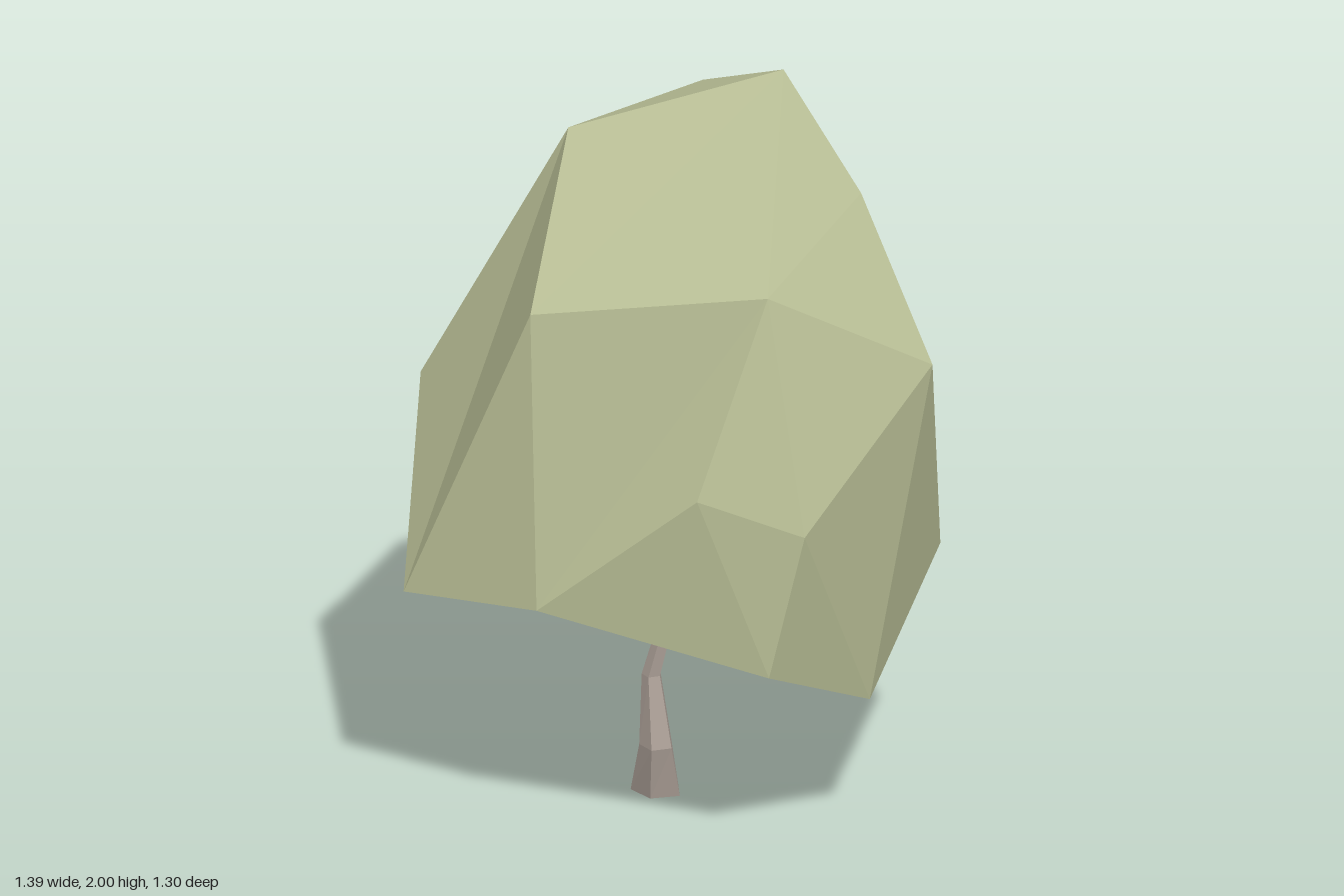
import * as THREE from 'three';

// Corner points of the faceted crown, keyed by letter
const P = {
  A: [0.22, 2.0, -0.07], B: [-0.31, 1.83, 0.09], C: [-0.27, 1.49, 0.52], D: [0.355, 1.6, 0.465],
  E: [0.45, 1.71, -0.01], F: [0.69, 1.32, 0.13], G: [0.49, 0.99, 0.57], H: [0.22, 1.08, 0.635],
  I: [-0.21, 0.72, 0.65], J: [0.4, 0.59, 0.59], K: [0.56, 0.41, 0.25], L: [-0.615, 0.66, 0.515],
  M: [-0.7, 1.1, 0.12], N: [-0.25, 0.38, -0.42], O: [-0.62, 0.63, -0.07], P: [-0.055, 1.86, -0.24],
  Q: [0.06, 1.33, -0.61], R: [-0.21, 0.88, -0.65], S: [0.18, 0.6, -0.6], T: [0.435, 1.04, -0.435],
  U: [0.605, 0.67, -0.19], V: [-0.26, 1.5, -0.46], W: [0.18, 0.53, -0.48], X: [-0.39, 1.01, -0.53],
  Y: [0.08, 0.49, 0.18],
};

// Fans of facets: hub point first, then its neighbours counter-clockwise
const FANS = [
  'AEPBCDE',                     // peak
  'FEDGKUTE', 'UKWST',           // left side
  'QPETSRVP', 'RSNXV', 'BPV',    // back
  'HDIJGD', 'CBLID', 'JKG',      // front
  'MBVXOLB', 'OXN',              // right side
  'LOI', 'IOKJ', 'NSW', 'YKONWK' // underside
];

function makeCrown() {
  const pos = [];
  for (const [hub, ...rim] of FANS) {
    for (let i = 0; i + 1 < rim.length; i++) pos.push(...P[hub], ...P[rim[i]], ...P[rim[i + 1]]);
  }
  const geo = new THREE.BufferGeometry();
  geo.setAttribute('position', new THREE.Float32BufferAttribute(pos, 3));
  geo.computeVertexNormals();
  return geo;
}

// Crooked trunk: a five-sided cylinder whose rings are shifted and scaled
function makeTrunk() {
  const rings = [ // y, centre x, centre z, radius x, radius z
    [0, -0.067, 0.095, 0.07, 0.058],
    [0.15, -0.053, 0.14, 0.046, 0.045],
    [0.34, -0.072, 0.125, 0.026, 0.028],
    [0.58, -0.012, 0.115, 0.018, 0.02],
  ];
  const geo = new THREE.CylinderGeometry(1, 1, 3, 5, 3).toNonIndexed();
  const p = geo.attributes.position;
  for (let i = 0; i < p.count; i++) {
    const [y, cx, cz, rx, rz] = rings[Math.round(p.getY(i) + 1.5)];
    p.setXYZ(i, cx + p.getX(i) * rx, y, cz + p.getZ(i) * rz);
  }
  geo.computeVertexNormals();
  return geo;
}

export function createModel() {
  const group = new THREE.Group();
  group.name = 'tree';
  const add = (name, geo, color) => {
    const mesh = new THREE.Mesh(geo, new THREE.MeshStandardMaterial({ color, flatShading: true }));
    mesh.name = name;
    group.add(mesh);
  };
  add('crown', makeCrown(), 0xb9bf96);
  add('trunk', makeTrunk(), 0xada198);
  return group;
}
